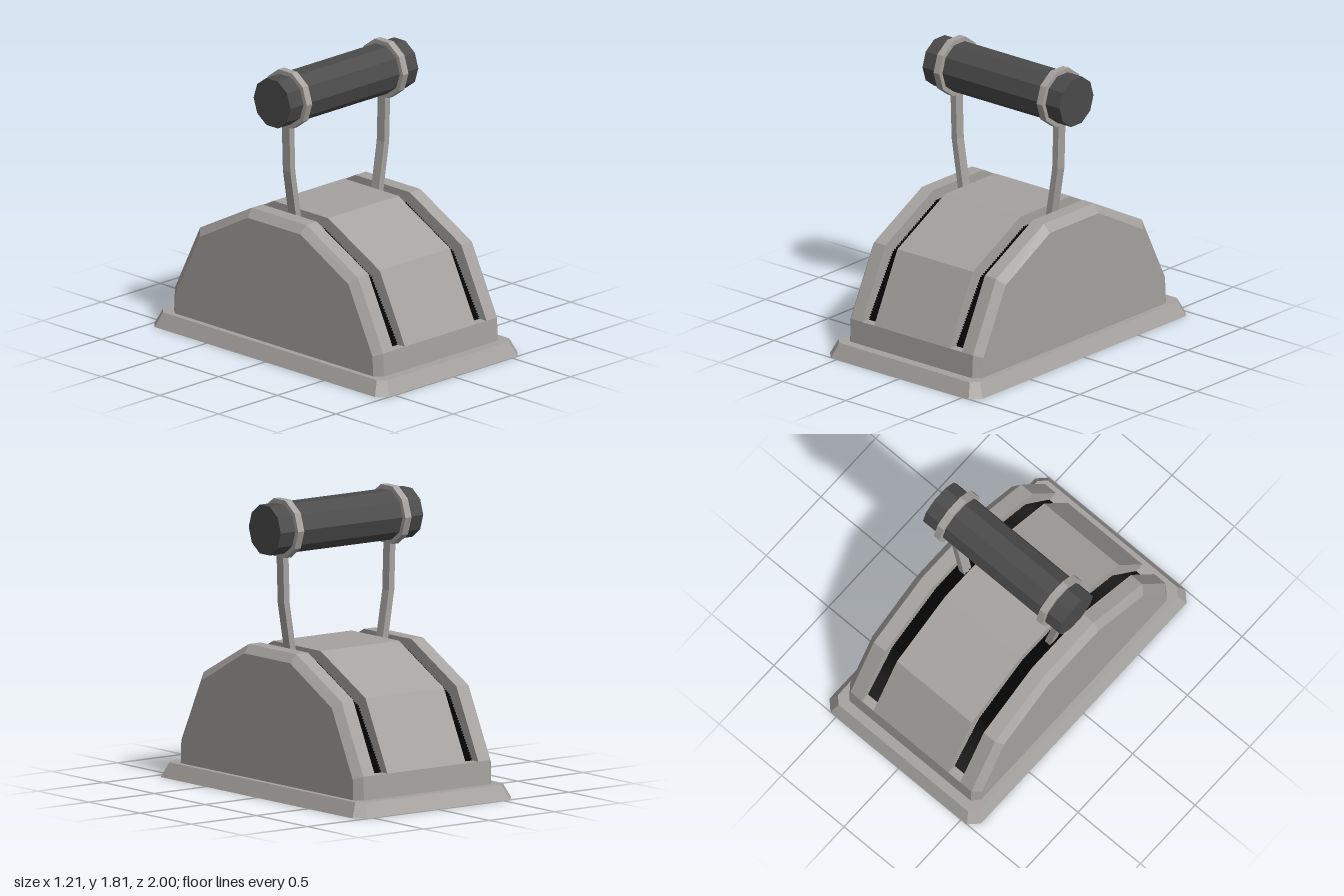
import * as THREE from 'three';

const grey = new THREE.MeshStandardMaterial({ color: 0xa5a29f });
grey.name = 'warm grey shell';
const dark = new THREE.MeshStandardMaterial({ color: 0x4a4a4a });
dark.name = 'dark grip';
const black = new THREE.MeshStandardMaterial({ color: 0x060606 });
black.name = 'black recess';

// Joins equal-length rings of [x, y, z] points with flat quads; convex end caps are optional.
function loft(rings, capped = true) {
  const pos = [];
  const tri = (...pts) => pts.forEach((p) => pos.push(...p));
  const n = rings[0].length;
  for (let r = 0; r < rings.length - 1; r++) {
    for (let i = 0; i < n; i++) {
      const j = (i + 1) % n;
      const a = rings[r][i], b = rings[r][j], c = rings[r + 1][i], d = rings[r + 1][j];
      tri(a, c, b);
      tri(b, c, d);
    }
  }
  if (capped) {
    const first = rings[0], last = rings[rings.length - 1];
    for (let i = 1; i < n - 1; i++) {
      tri(first[0], first[i], first[i + 1]);
      tri(last[0], last[i + 1], last[i]);
    }
  }
  const geo = new THREE.BufferGeometry();
  geo.setAttribute('position', new THREE.Float32BufferAttribute(pos, 3));
  geo.computeVertexNormals();
  return geo;
}

// Half profiles as [z, y], from the bottom up to the crown
const outer = [[0.895, 0.07], [0.895, 0.09], [0.888, 0.235], [0.673, 0.667], [0.232, 0.897]];
const inset = [[0.845, 0.07], [0.845, 0.09], [0.84, 0.215], [0.635, 0.625], [0.225, 0.845]];
const slotEnd = [[0.895, 0.07], [0.895, 0.09], [0.888, 0.235]];

// Fine teeth along a path: every second point is sunk towards the housing's core
function toothed(path, pitch, depth) {
  const out = [];
  for (let k = 0; k < path.length - 1; k++) {
    const [z0, y0] = path[k], [z1, y1] = path[k + 1];
    const n = 2 * Math.round(Math.hypot(z1 - z0, y1 - y0) / pitch);
    for (let i = 0; i < n; i++) {
      const z = z0 + (z1 - z0) * i / n, y = y0 + (y1 - y0) * i / n;
      const sink = i % 2 ? depth / Math.hypot(z, y) : 0;
      out.push([z * (1 - sink), y * (1 - sink)]);
    }
  }
  return out;
}
const slotRack = [[0.835, 0.1], ...toothed([[0.835, 0.234], [0.61, 0.615], [0.208, 0.83], [0, 0.83]], 0.018, 0.014)];

// Full front-to-back profile placed at a given x
const section = (half, x) => [
  ...half.map(([z, y]) => [x, y, z]),
  ...[...half].reverse().map(([z, y]) => [x, y, -z]),
];

// Rectangle with cut corners at a given height
const plinthRing = (w, l, c, y) => [
  [w, y, -l + c], [w, y, l - c], [w - c, y, l], [-w + c, y, l],
  [-w, y, l - c], [-w, y, -l + c], [-w + c, y, -l], [w - c, y, -l],
];

// Square cross-section of an arm
const armRing = (x, y) => {
  const h = 0.021, d = 0.032;
  return [[x + h, y, -d], [x + h, y, d], [x - h, y, d], [x - h, y, -d]];
};

// Ten-sided bar lying along x
function bar(radius, length) {
  const geo = new THREE.CylinderGeometry(radius, radius, length, 10).toNonIndexed();
  geo.computeVertexNormals();
  return geo.rotateZ(Math.PI / 2);
}

export function createModel() {
  const model = new THREE.Group();
  const add = (name, geo, mat, x = 0, y = 0, z = 0) => {
    const mesh = new THREE.Mesh(geo, mat);
    mesh.name = name;
    mesh.position.set(x, y, z);
    model.add(mesh);
  };

  // Thin flared plinth skirt, hollow underneath
  const bottomRim = plinthRing(0.607, 1, 0.06, 0);
  add('plinth', loft([
    bottomRim,
    plinthRing(0.564, 0.957, 0.045, 0.09),
    plinthRing(0.5, 0.82, 0.03, 0.09),
    plinthRing(0.5, 0.82, 0.03, 0.08),
    plinthRing(0.555, 0.945, 0.045, 0.072),
    plinthRing(0.6, 0.993, 0.058, 0),
    bottomRim,
  ], false), grey);

  // Recessed underside plate with a black gap at each end
  add('undersideGap', new THREE.BoxGeometry(1.03, 0.01, 1.83), black, 0, 0.065, 0);
  add('undersidePlate', new THREE.BoxGeometry(1.08, 0.008, 1.73), grey, 0, 0.059, 0);

  // Middle of the housing
  add('housingCentre', loft([section(outer, -0.3), section(outer, 0.3)]), grey);

  for (const s of [1, -1]) {
    const side = s > 0 ? 'left' : 'right';
    // Rings must run towards +x, so the mirrored side is reversed
    const span = (rings, capped) => loft(s > 0 ? rings : rings.reverse(), capped);

    // Bevelled shoulder of the housing
    add(side + 'Shoulder', span([
      section(outer, s * 0.395), section(outer, s * 0.485), section(inset, s * 0.528),
    ]), grey);

    // Lever slot with its black toothed floor and closed ends
    add(side + 'SlotRack', span([section(slotRack, s * 0.3), section(slotRack, s * 0.395)], false), black);
    add(side + 'SlotEnds', span([section(slotEnd, s * 0.3), section(slotEnd, s * 0.395)]), grey);

    // Bent arm and the collar around the grip
    add(side + 'Arm', loft([
      armRing(s * 0.338, 0.79), armRing(s * 0.4, 1.17), armRing(s * 0.41, 1.5),
    ]), grey);
    add(side + 'Collar', bar(0.185, 0.047), grey, s * 0.41, 1.631, 0);
  }

  // Grip bar
  add('grip', bar(0.157, 1.09), dark, 0, 1.631, 0);

  return model;
}
